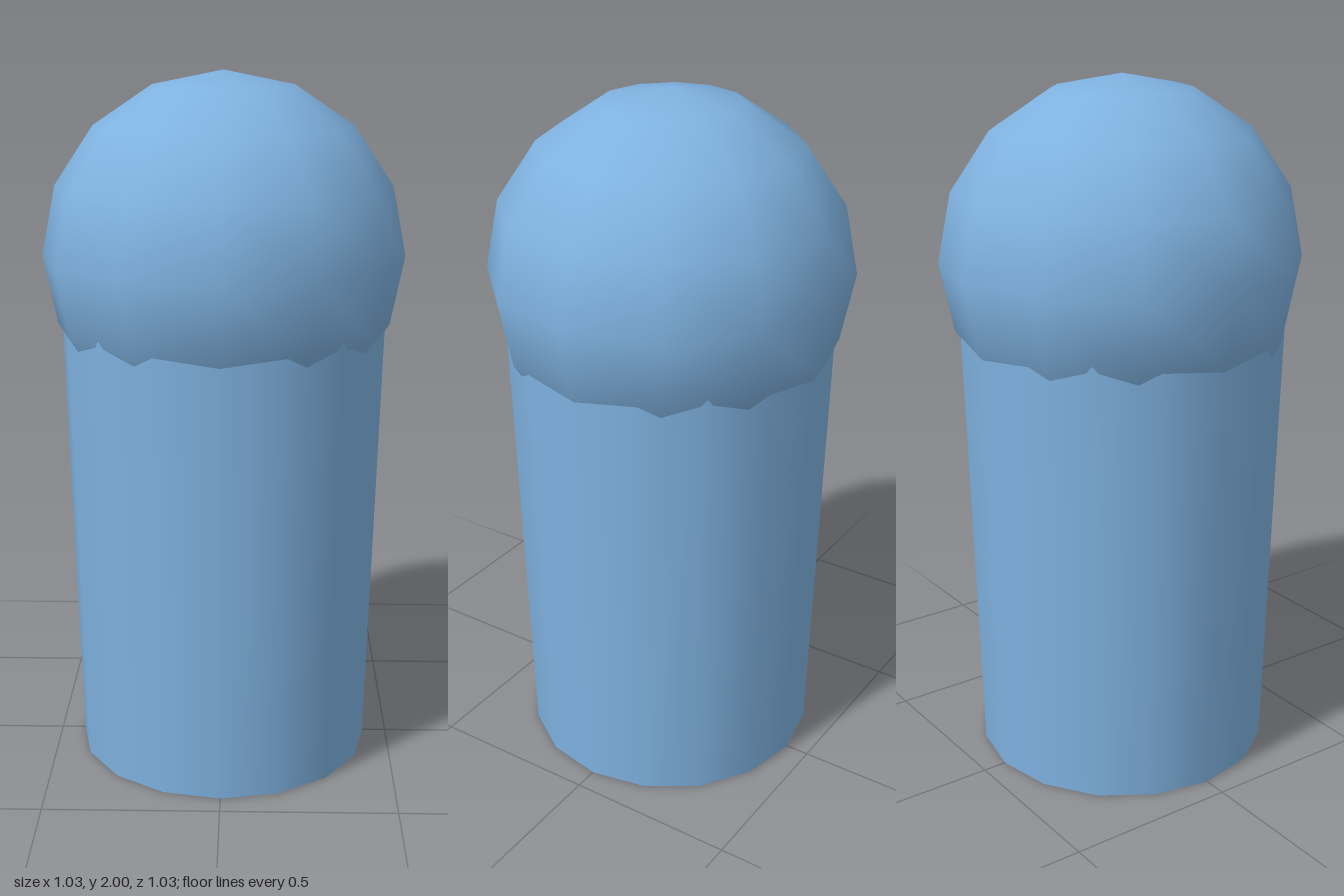
import * as THREE from 'three';

export function createModel() {
  const group = new THREE.Group();
  const blue = new THREE.MeshStandardMaterial({ color: 0x7fb2e0 });
  blue.name = 'lightBlue';

  const headRadius = 0.517;
  const headCentre = 2 - headRadius;

  // Tapered column, slightly wider at the top, reaching the middle of the head
  const column = new THREE.Mesh(new THREE.CylinderGeometry(0.47, 0.43, headCentre, 16), blue);
  column.name = 'column';
  column.position.y = headCentre / 2;

  // Round head resting over the column
  const head = new THREE.Mesh(new THREE.SphereGeometry(headRadius, 12, 8), blue);
  head.name = 'head';
  head.position.y = headCentre;

  group.add(column, head);
  return group;
}
